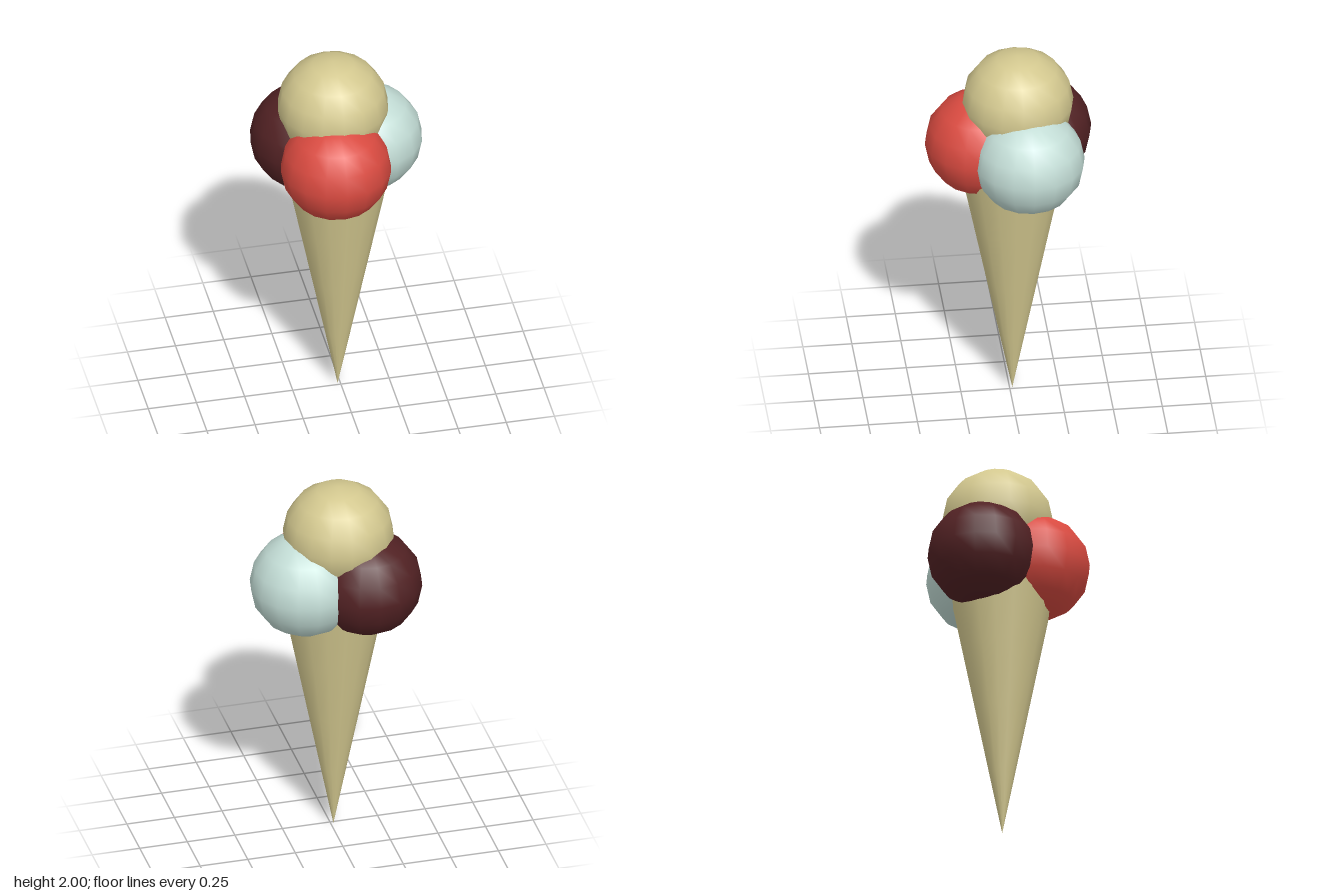
import * as THREE from 'three';

function makeMaterial(name, color) {
  const material = new THREE.MeshStandardMaterial({ color });
  material.name = name;
  return material;
}

export function createModel() {
  const group = new THREE.Group();
  group.name = 'iceCreamCone';

  const cream = makeMaterial('cream', 0xd3c88f);
  const red = makeMaterial('strawberryRed', 0xd94a40);
  const brown = makeMaterial('chocolateBrown', 0x512123);
  const mint = makeMaterial('paleMint', 0xc3ddd6);

  // Scoops: slightly flattened spheres, three in a ring and one on top
  const scoopGeometry = new THREE.SphereGeometry(0.284, 16, 8).scale(1, 0.273 / 0.284, 1);
  const scoops = [
    ['topScoop', cream, -0.032, 1.727, -0.044],
    ['frontScoop', red, -0.057, 1.48, 0.144],
    ['leftScoop', mint, 0.152, 1.48, -0.081],
    ['backScoop', brown, -0.153, 1.48, -0.149],
  ];
  for (const [name, material, x, y, z] of scoops) {
    const scoop = new THREE.Mesh(scoopGeometry, material);
    scoop.name = name;
    scoop.position.set(x, y, z);
    group.add(scoop);
  }

  // Wafer cone, point down, its rim hidden among the scoops
  const height = 1.35;
  const cone = new THREE.Mesh(new THREE.CylinderGeometry(0.267, 0, height, 16, 4), cream);
  cone.name = 'cone';
  cone.position.set(-0.014, height / 2, -0.014);
  group.add(cone);

  return group;
}
